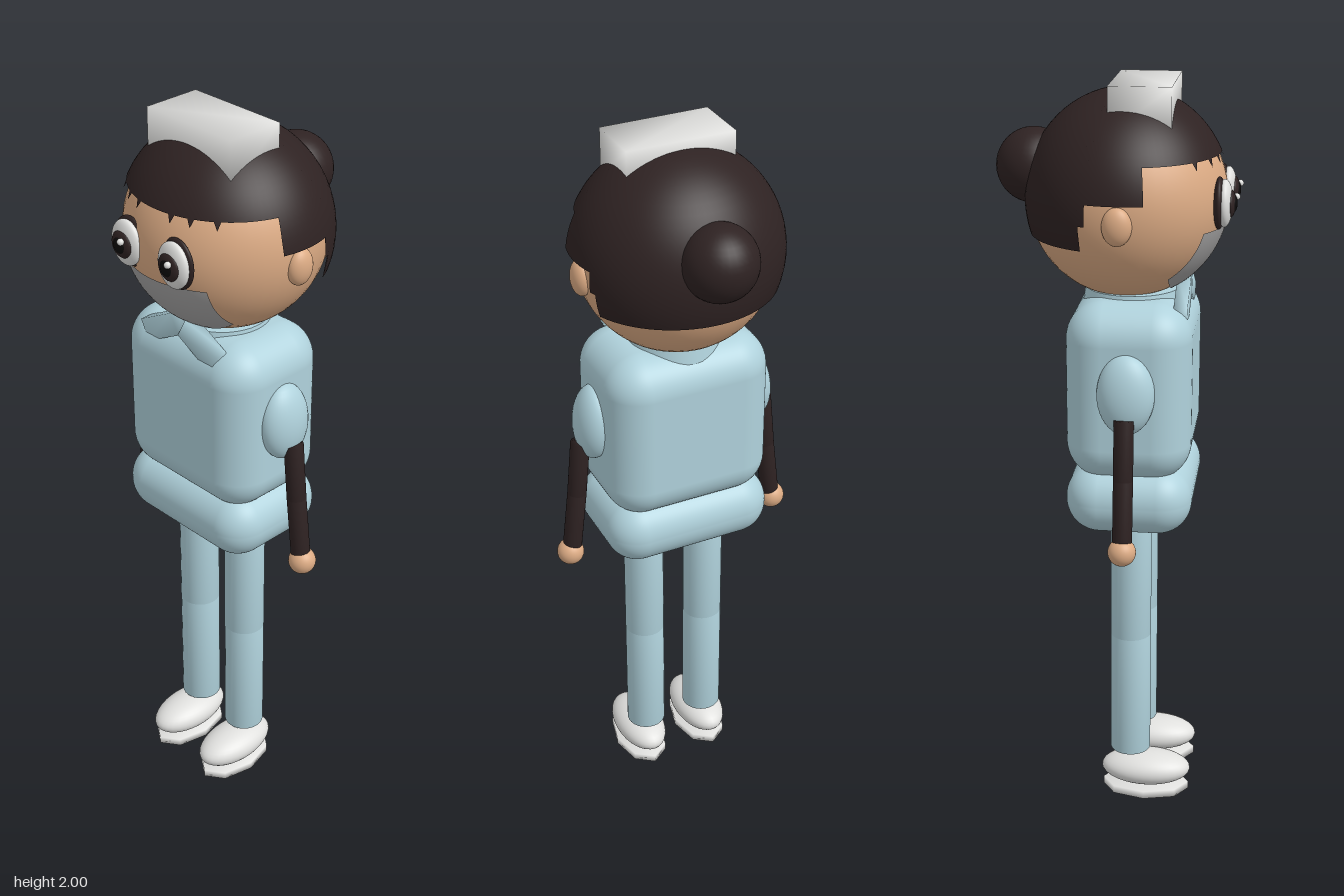
import * as THREE from 'three';
import { mergeVertices } from 'three/addons/utils/BufferGeometryUtils.js';
import { RoundedBoxGeometry } from 'three/addons/geometries/RoundedBoxGeometry.js';

function paint(name, color, side = THREE.FrontSide) {
  const m = new THREE.MeshStandardMaterial({ color, side });
  m.name = name;
  return m;
}

// Share the corner vertices so that shading runs smoothly over the edges
function soften(geometry) {
  geometry.deleteAttribute('normal');
  geometry.deleteAttribute('uv');
  const g = mergeVertices(geometry);
  g.computeVertexNormals();
  return g;
}

// Open surface from columns; at(i, v) gives the point of column i at v = 0 (top) .. 1 (bottom)
function patch(columns, rows, at) {
  const pos = [], index = [];
  for (let i = 0; i < columns; i++) {
    for (let j = 0; j <= rows; j++) {
      pos.push(...at(i, j / rows));
      if (i < columns - 1 && j < rows) {
        const a = i * (rows + 1) + j, d = a + rows + 1;
        index.push(a, a + 1, d + 1, a, d + 1, d);
      }
    }
  }
  const g = new THREE.BufferGeometry();
  g.setAttribute('position', new THREE.Float32BufferAttribute(pos, 3));
  g.setIndex(index);
  g.computeVertexNormals();
  return g;
}

export function createModel() {
  const model = new THREE.Group();
  model.name = 'nurseFigure';
  const blue = paint('uniformBlue', 0xb0d2dc);
  const skin = paint('skin', 0xdcab84);
  const dark = paint('darkBrown', 0x2e2222, THREE.DoubleSide);
  const white = paint('white', 0xe0e0de);
  const grey = paint('maskGrey', 0xa3a2a2, THREE.DoubleSide);
  const black = paint('black', 0x0c0a0a);

  const add = (name, geometry, material, x, y, z) => {
    const mesh = new THREE.Mesh(geometry, material);
    mesh.name = name;
    mesh.position.set(x, y, z);
    model.add(mesh);
    return mesh;
  };
  const ball = (name, material, x, y, z, rx, ry = rx, rz = rx) =>
    add(name, new THREE.SphereGeometry(1, 32, 20).scale(rx, ry, rz), material, x, y, z);
  const rod = (name, material, from, to, r) => {
    const a = new THREE.Vector3(...from), b = new THREE.Vector3(...to);
    const mid = a.clone().add(b).multiplyScalar(0.5);
    const mesh = add(name, soften(new THREE.CylinderGeometry(r, r, a.distanceTo(b), 28)), material, mid.x, mid.y, mid.z);
    mesh.quaternion.setFromUnitVectors(new THREE.Vector3(0, 1, 0), a.sub(b).normalize());
    return mesh;
  };

  // Head
  const hy = 1.7, hz = 0.02;
  add('head', new THREE.SphereGeometry(0.26, 48, 32), skin, 0, hy, hz);

  // Hair: cap with a stepped lower edge, [angle from front, height of edge]
  const edge = [[0, 1.82], [11, 1.82], [13, 1.8], [15, 1.82], [23, 1.82], [25, 1.8], [27, 1.82],
    [38, 1.82], [40, 1.8], [42, 1.82], [75, 1.82], [75, 1.73], [107, 1.73], [107, 1.675],
    [111, 1.675], [111, 1.61], [180, 1.61]];
  const half = [];
  edge.forEach(([a, y], k) => {
    if (k > 0) {
      const [a0, y0] = edge[k - 1], n = Math.ceil((a - a0) / 5);
      for (let s = 1; s < n; s++) half.push([a0 + (a - a0) * s / n, y0 + (y - y0) * s / n]);
    }
    half.push([a, y]);
  });
  const columns = [...half.slice(1).reverse().map(([a, y]) => [-a, y]), ...half];
  const hair = patch(columns.length, 20, (i, v) => {
    const az = THREE.MathUtils.degToRad(columns[i][0]);
    const t = Math.acos((columns[i][1] - hy) / 0.28) * v;
    return [Math.sin(t) * Math.sin(az), Math.cos(t), Math.sin(t) * Math.cos(az)];
  });
  hair.setAttribute('normal', hair.getAttribute('position').clone());
  add('hair', hair.scale(0.28, 0.28, 0.266), dark, 0, hy, hz);
  ball('hairBun', dark, 0, 1.775, -0.224, 0.098);

  // Cap
  add('cap', soften(new THREE.BoxGeometry(0.292, 0.12, 0.16)), white, 0, 1.94, 0.065);

  // Face mask hugging the lower face
  const R = 0.2635, N = 24;
  add('faceMask', patch(N + 1, 14, (i, v) => {
    const x = -0.15 + 0.3 * i / N;
    const y = THREE.MathUtils.lerp(-0.06, -Math.sqrt(R * R - x * x - 0.0144), v);
    return [x, y, Math.sqrt(R * R - x * x - y * y)];
  }), grey, 0, hy, hz);

  // Torso, hips and collar
  add('torso', new RoundedBoxGeometry(0.46, 0.48, 0.33, 8, 0.1), blue, 0, 1.215, 0.04);
  add('hips', new RoundedBoxGeometry(0.47, 0.186, 0.335, 8, 0.09), blue, 0, 0.918, 0.042);
  add('collar', new THREE.CylinderGeometry(0.125, 0.14, 0.09, 40), blue, 0, 1.42, 0.035);

  for (const s of [1, -1]) {
    const side = s > 0 ? 'left' : 'right';

    // Eye, layered from rim to highlight
    const ex = s * 0.085, ey = 1.705;
    ball(side + 'EyeRim', dark, ex, ey, 0.262, 0.056, 0.067, 0.016);
    ball(side + 'EyeWhite', white, ex, ey, 0.275, 0.051, 0.061, 0.022);
    ball(side + 'Iris', dark, ex, ey, 0.29, 0.035, 0.036, 0.014);
    ball(side + 'Pupil', black, ex, ey, 0.297, 0.022, 0.023, 0.011);
    ball(side + 'EyeHighlight', white, ex + 0.012, ey + 0.015, 0.305, 0.009);
    ball(side + 'Ear', skin, s * 0.257, 1.676, 0.022, 0.027, 0.049, 0.038);

    // Collar flap
    add(side + 'CollarFlap', soften(new THREE.BoxGeometry(0.13, 0.06, 0.036)), blue, s * 0.07, 1.443, 0.172)
      .rotation.z = -s * 0.49;

    // Arm
    ball(side + 'Sleeve', blue, s * 0.232, 1.235, 0.042, 0.051, 0.106, 0.075).rotation.z = s * 0.08;
    rod(side + 'UpperArm', dark, [s * 0.27, 1.18, 0.042], [s * 0.285, 1.02, 0.042], 0.026);
    rod(side + 'Forearm', dark, [s * 0.285, 1.02, 0.042], [s * 0.306, 0.84, 0.042], 0.026);
    ball(side + 'Hand', skin, s * 0.311, 0.831, 0.042, 0.037);

    // Leg
    rod(side + 'Thigh', blue, [s * 0.092, 0.87, 0.042], [s * 0.092, 0.49, 0.042], 0.056);
    rod(side + 'Shin', blue, [s * 0.092, 0.49, 0.042], [s * 0.092, 0.13, 0.042], 0.056);

    // Shoe
    ball(side + 'Shoe', white, s * 0.098, 0.069, 0.087, 0.07, 0.048, 0.126);
    add(side + 'Sole', soften(new THREE.CylinderGeometry(1, 1, 0.022, 8)).scale(0.072, 1, 0.122), white, s * 0.098, 0.013, 0.087);
  }

  // Stand on the floor, centred front to back
  const box = new THREE.Box3().setFromObject(model);
  const dz = (box.min.z + box.max.z) / 2;
  for (const part of model.children) {
    part.position.y -= box.min.y;
    part.position.z -= dz;
  }
  return model;
}
